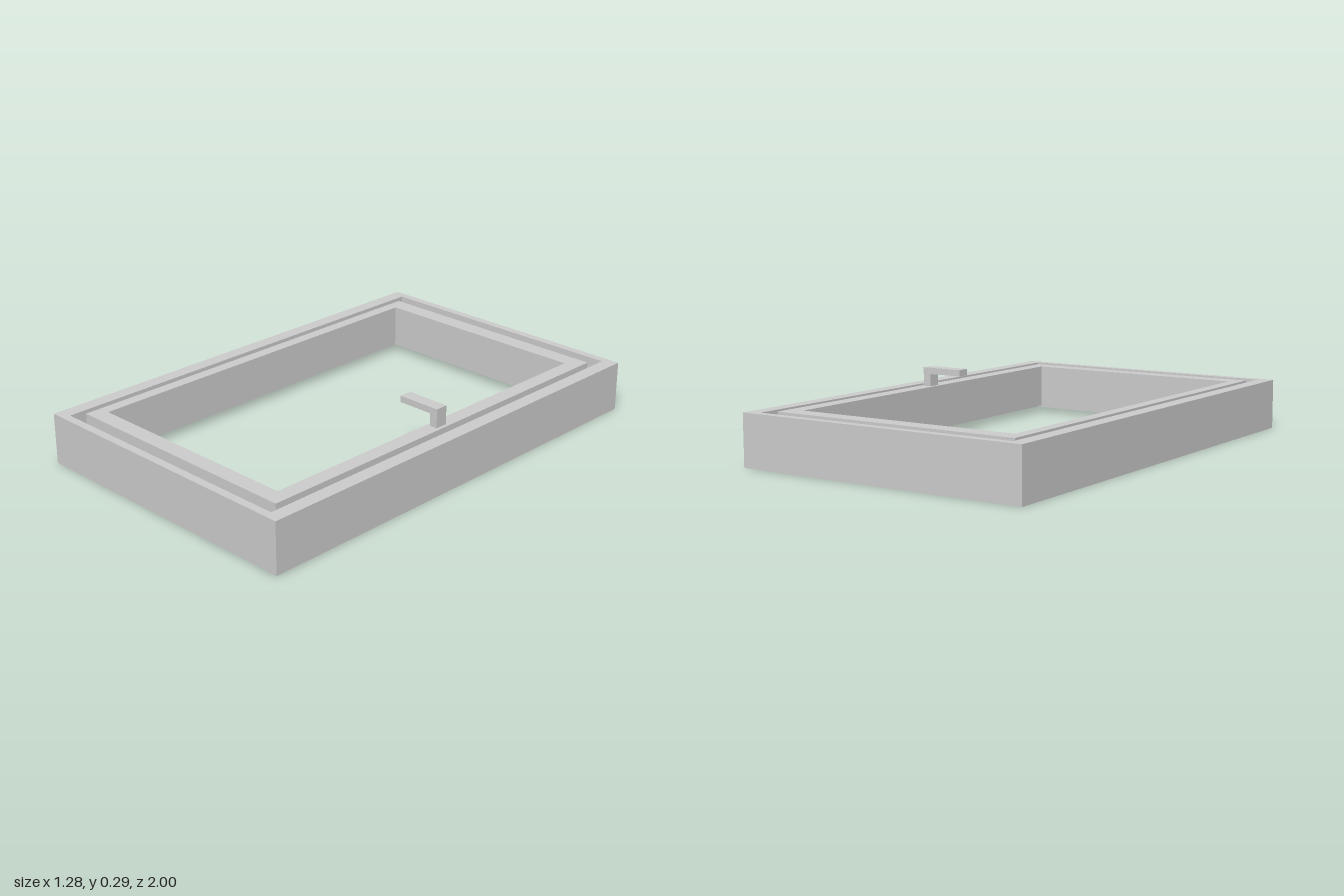
import * as THREE from 'three';

const material = new THREE.MeshStandardMaterial({ color: 0xcccccc, flatShading: true });

// Trace a rectangle given as [x0, x1, z0, z1]
function trace(path, [x0, x1, z0, z1]) {
  path.moveTo(x0, -z1);
  path.lineTo(x1, -z1);
  path.lineTo(x1, -z0);
  path.lineTo(x0, -z0);
  path.closePath();
  return path;
}

// Rectangular ring lying flat between heights y0 and y1
function ring(name, outer, inner, y0, y1) {
  const shape = trace(new THREE.Shape(), outer);
  shape.holes.push(trace(new THREE.Path(), inner));
  const geometry = new THREE.ExtrudeGeometry(shape, { depth: y1 - y0, bevelEnabled: false });
  geometry.rotateX(-Math.PI / 2).translate(0, y0, 0);
  const mesh = new THREE.Mesh(geometry, material);
  mesh.name = name;
  return mesh;
}

export function createModel() {
  const model = new THREE.Group();
  model.name = 'window';
  const top = 0.215;
  const rim = [-0.58, 0.58, -0.965, 0.965];
  const opening = [-0.5, 0.48, -0.835, 0.84];

  // Fixed outer frame
  model.add(ring('outerFrame', [-0.64, 0.64, -1, 1], rim, 0, top));

  // Sash: wide flange below, narrower body above, leaving a groove at the top
  const sash = new THREE.Group();
  sash.name = 'sash';
  sash.add(ring('sashFlange', rim, opening, 0.03, 0.12));
  sash.add(ring('sashBody', [-0.55, 0.545, -0.91, 0.91], opening, 0.12, top));
  model.add(sash);

  // L-shaped handle: post and lever in one extruded profile
  const profile = new THREE.Shape([
    [0.495, top], [0.53, top], [0.53, 0.295], [0.34, 0.295], [0.34, 0.268], [0.495, 0.268],
  ].map(([x, y]) => new THREE.Vector2(x, y)));
  const handle = new THREE.Mesh(
    new THREE.ExtrudeGeometry(profile, { depth: 0.055, bevelEnabled: false }), material);
  handle.position.z = -0.01;
  handle.name = 'handle';
  model.add(handle);

  return model;
}
